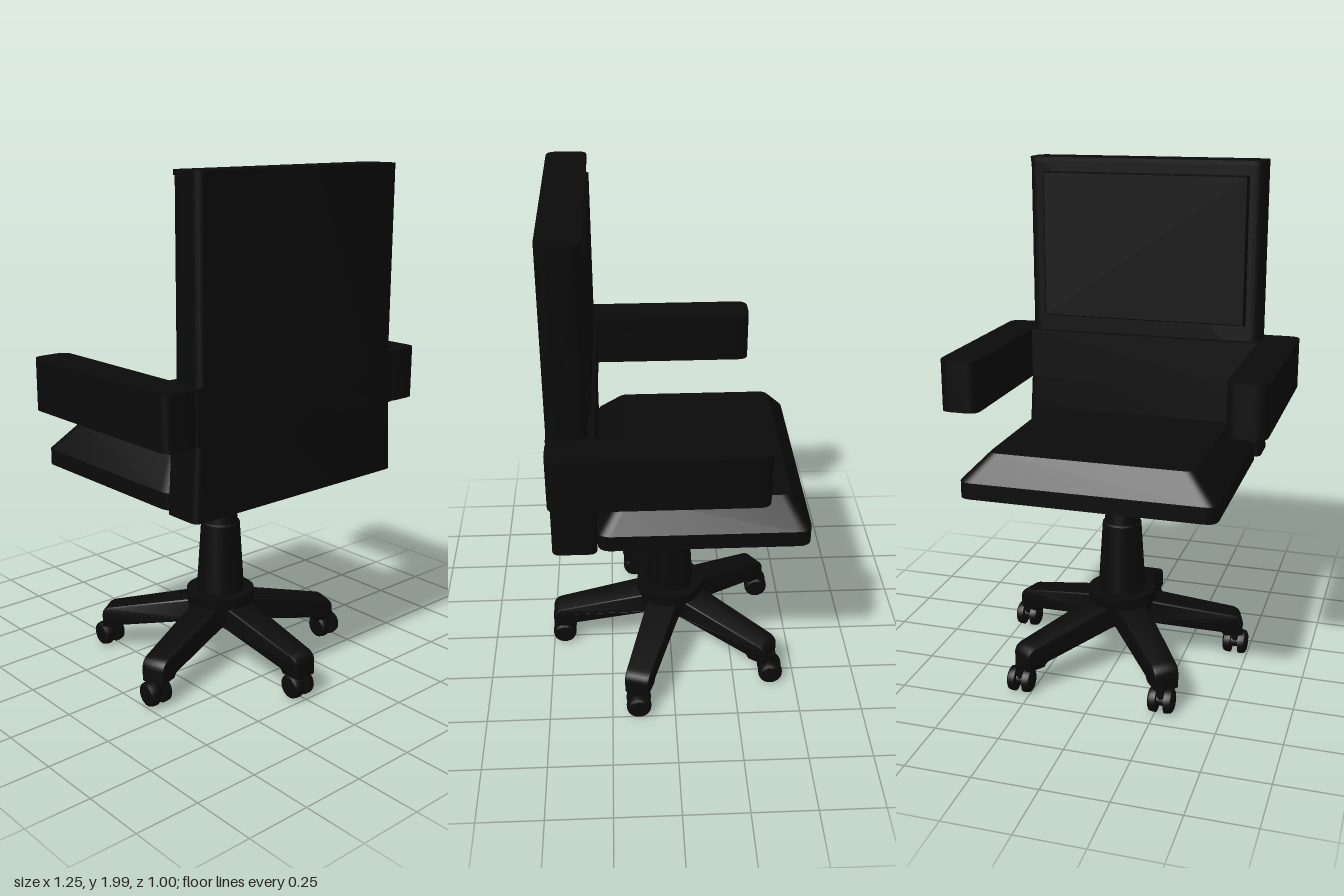
import * as THREE from 'three';
import { toCreasedNormals } from 'three/addons/utils/BufferGeometryUtils.js';

const black = new THREE.MeshStandardMaterial({ color: 0x0a0a0a });
const grey = new THREE.MeshStandardMaterial({ color: 0xcccccc });

function add(parent, name, geometry, material = black) {
  const mesh = new THREE.Mesh(geometry, material);
  mesh.name = name;
  parent.add(mesh);
  return mesh;
}

// Move every vertex by a rule, then smooth all but the sharp edges.
function reshape(geo, rule) {
  const p = geo.attributes.position;
  const v = new THREE.Vector3();
  for (let i = 0; i < p.count; i++) {
    v.fromBufferAttribute(p, i);
    rule(v);
    p.setXYZ(i, v.x, v.y, v.z);
  }
  return toCreasedNormals(geo, 0.55);
}

function roundedRect(x0, x1, y0, y1, r) {
  const s = new THREE.Shape();
  s.moveTo(x0 + r, y0);
  s.lineTo(x1 - r, y0);
  s.quadraticCurveTo(x1, y0, x1, y0 + r);
  s.lineTo(x1, y1 - r);
  s.quadraticCurveTo(x1, y1, x1 - r, y1);
  s.lineTo(x0 + r, y1);
  s.quadraticCurveTo(x0, y1, x0, y1 - r);
  s.lineTo(x0, y0 + r);
  s.quadraticCurveTo(x0, y0, x0 + r, y0);
  return s;
}

// Upright block with a rounded plan, from y0 to y1.
function slab(x0, x1, z0, z1, r, y0, y1, steps = 1, rule = () => {}) {
  const geo = new THREE.ExtrudeGeometry(roundedRect(x0, x1, -z1, -z0, r), {
    depth: y1 - y0, steps, bevelEnabled: false, curveSegments: 6,
  });
  geo.rotateX(-Math.PI / 2).translate(0, y0, 0);
  return reshape(geo, rule);
}

function lathe(points, segments = 32) {
  const geo = new THREE.LatheGeometry(points.map(([r, y]) => new THREE.Vector2(r, y)), segments);
  return toCreasedNormals(geo, 0.5);
}

// Star leg: side profile along +x, narrowing toward its tip.
function legGeometry() {
  const s = new THREE.Shape();
  s.moveTo(0.02, 0.185);
  s.lineTo(0.11, 0.18);
  s.lineTo(0.41, 0.125);
  s.lineTo(0.425, 0.108);
  s.lineTo(0.488, 0.108);
  s.lineTo(0.488, 0.155);
  s.quadraticCurveTo(0.486, 0.182, 0.45, 0.187);
  s.lineTo(0.12, 0.262);
  s.lineTo(0.02, 0.27);
  s.closePath();
  const geo = new THREE.ExtrudeGeometry(s, {
    depth: 0.08, bevelThickness: 0.01, bevelSize: 0.008, bevelSegments: 2, curveSegments: 6,
  });
  geo.translate(0, 0, -0.04);
  return reshape(geo, (v) => { v.z *= 1.3 - 0.75 * Math.max(0, v.x - 0.08); });
}

function createCaster(x, z) {
  const caster = new THREE.Group();
  caster.name = 'caster';
  caster.position.set(x, 0.056, z);
  const wheel = lathe([[0, -0.018], [0.036, -0.018], [0.046, -0.012], [0.049, 0],
    [0.049, 0.014], [0.03, 0.014], [0, 0.014]], 24).rotateZ(-Math.PI / 2);
  for (const side of [-1, 1]) {
    const mesh = add(caster, 'casterWheel', wheel);
    mesh.position.x = side * 0.03;
    if (side > 0) mesh.rotation.y = Math.PI;
  }
  add(caster, 'casterAxle', new THREE.CylinderGeometry(0.024, 0.024, 0.05, 16).rotateZ(Math.PI / 2));
  add(caster, 'casterStem', new THREE.CylinderGeometry(0.022, 0.022, 0.08, 16)).position.y = 0.04;
  return caster;
}

export function createModel() {
  const chair = new THREE.Group();
  chair.name = 'officeChair';

  // Seat: upright rim, then sides sloping in to a flat top
  add(chair, 'seat', slab(-0.485, 0.485, -0.5, 0.285, 0.05, 0, 2, 2, (v) => {
    const level = Math.round(v.y);
    v.y = [0.822, 0.885, 0.985][level];
    if (level === 2) {
      v.x *= 0.8;
      v.z = -0.43 + (v.z + 0.5) * (0.63 / 0.785);
    }
  }));

  // Backrest: tall slab, lower part flaring outward
  add(chair, 'backrest', slab(-0.48, 0.48, 0.305, 0.45, 0.04, 1.2, 2));
  add(chair, 'backrestLower', slab(-0.48, 0.48, 0.285, 0.45, 0.03, 0.822, 1.2, 1, (v) => {
    if (v.y < 1) v.x *= 1.045;
  }));
  add(chair, 'backrestTopLip', slab(-0.48, 0.48, 0.296, 0.44, 0.04, 1.982, 2));

  // Raised back cushion with sloped edges
  const cushion = new THREE.BoxGeometry(0.86, 0.6, 0.03).toNonIndexed();
  cushion.translate(0, 1.65, 0.305);
  add(chair, 'backCushion', reshape(cushion, (v) => {
    if (v.z < 0.3) {
      v.x *= 0.96;
      v.y = 1.65 + (v.y - 1.65) * 0.96;
    }
  }));

  // Band behind the sitter, joining both arms
  add(chair, 'armBand', slab(-0.5, 0.5, 0.28, 0.45, 0.02, 1.095, 1.295));
  add(chair, 'rightArm', slab(-0.625, -0.475, -0.355, 0.45, 0.045, 1.095, 1.295));
  add(chair, 'leftArm', slab(0.475, 0.625, -0.325, 0.45, 0.045, 1.095, 1.295));

  // Gas lift and its covers
  add(chair, 'liftRod', new THREE.CylinderGeometry(0.043, 0.043, 0.06, 32), grey).position.y = 0.8;
  add(chair, 'column', lathe([[0, 0.28], [0.098, 0.28], [0.078, 0.595], [0.07, 0.6],
    [0.051, 0.805], [0.046, 0.81], [0, 0.81]]));
  add(chair, 'hub', lathe([[0, 0.17], [0.08, 0.17], [0.12, 0.2], [0.137, 0.26],
    [0.137, 0.31], [0.09, 0.312], [0, 0.312]]));

  // Five-legged base
  const leg = legGeometry();
  for (let i = 0; i < 5; i++) {
    add(chair, 'baseLeg', leg).rotation.y = -Math.PI / 2 + (i * Math.PI * 2) / 5;
  }
  for (const [x, z] of [[0, 0.453], [-0.45, 0.145], [0.463, 0.145], [-0.272, -0.4], [0.292, -0.4]]) {
    chair.add(createCaster(x, z));
  }
  return chair;
}
